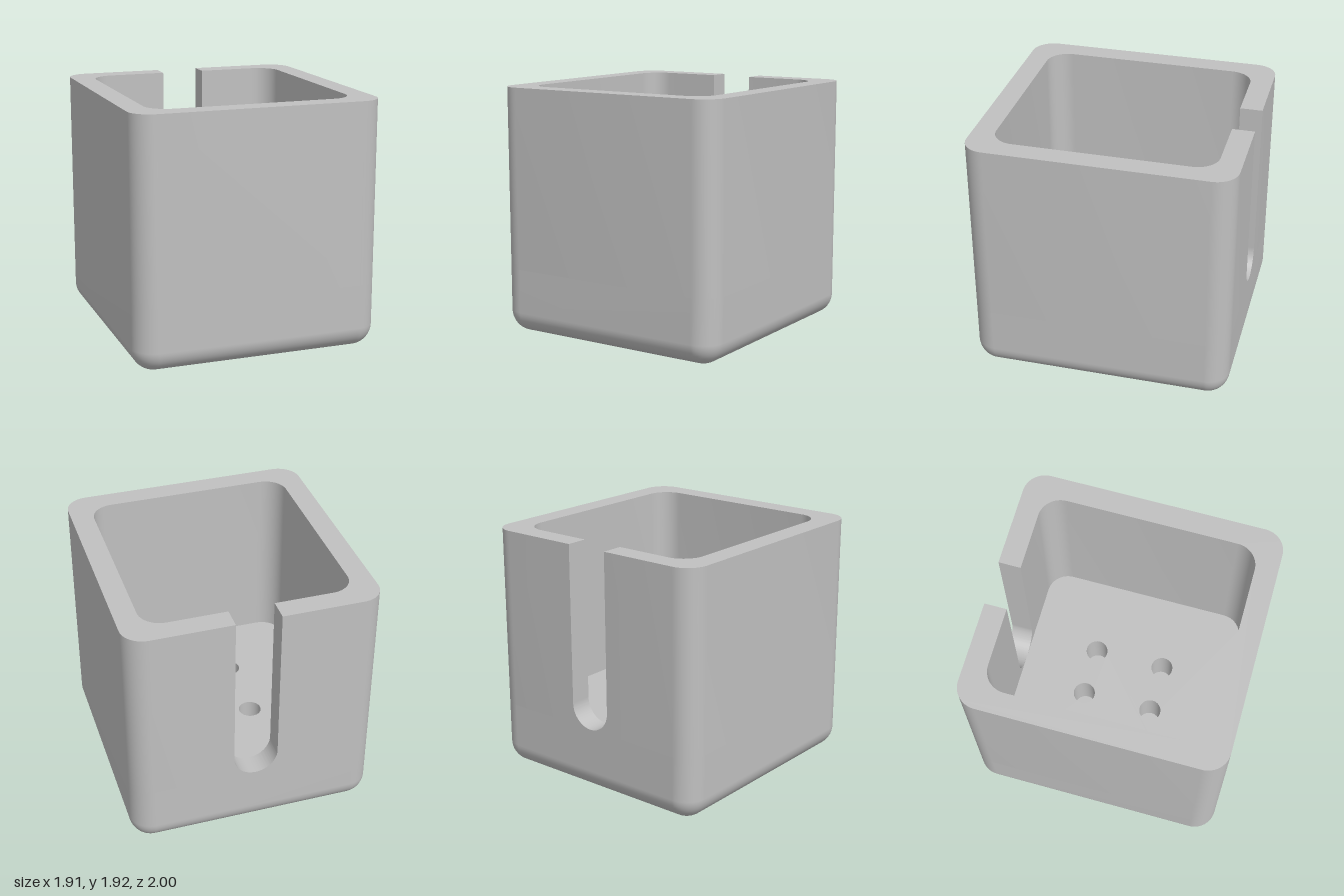
import * as THREE from 'three';
import { mergeVertices, toCreasedNormals } from 'three/addons/utils/BufferGeometryUtils.js';

const W = 0.957, D = 1, H = 1.915; // half width, half depth, height
const R = 0.17;                    // wall thickness, corner radius and slot radius
const FLOOR = 0.511;
const HOLE_R = 0.087, HOLE_DEPTH = 0.34;
const SEG = 12;

// Rounded rectangle, clockwise from the back right corner (y of the plan = -z)
function loop(w, d, r) {
  const pts = [];
  [[1, 1], [1, -1], [-1, -1], [-1, 1]].forEach(([sx, sy], c) => {
    for (let i = 0; i <= SEG; i++) {
      const a = (Math.PI / 2) * (1 - c - i / SEG);
      pts.push(new THREE.Vector2(sx * (w - r) + r * Math.cos(a), sy * (d - r) + r * Math.sin(a)));
    }
  });
  return pts;
}

// Solid lower body with a rounded bottom edge, built from stacked loops
function baseGeometry() {
  const pos = [], idx = [];
  const n = 4 * (SEG + 1);
  const addRow = (pts, y) => pts.forEach(p => pos.push(p.x, y, -p.y));
  for (let k = 0; k <= SEG; k++) {
    const t = (k / SEG) * Math.PI / 2;
    const inset = R - R * Math.sin(t);
    addRow(loop(W - inset, D - inset, R - inset), R - R * Math.cos(t));
  }
  addRow(loop(W, D, R), FLOOR);
  for (let k = 0; k <= SEG; k++) {
    for (let i = 0; i < n; i++) {
      const a = k * n + i, b = k * n + (i + 1) % n;
      idx.push(a, a + n, b, b, a + n, b + n);
    }
  }
  const centre = pos.length / 3;
  pos.push(0, 0, 0);
  for (let i = 0; i < n; i++) idx.push(centre, i, (i + 1) % n);
  const g = new THREE.BufferGeometry();
  g.setAttribute('position', new THREE.Float32BufferAttribute(pos, 3));
  g.setIndex(idx);
  const merged = mergeVertices(g, 1e-4);
  merged.computeVertexNormals();
  return merged;
}

export function createModel() {
  const group = new THREE.Group();
  const grey = new THREE.MeshStandardMaterial({ color: 0xc0c0c0 });
  grey.name = 'light grey';
  const add = (name, geometry) => {
    const mesh = new THREE.Mesh(geometry, grey);
    mesh.name = name;
    group.add(mesh);
    return mesh;
  };

  add('base', baseGeometry());

  // Walls, left open at the back for the slot
  const v = (x, y) => new THREE.Vector2(x, y);
  const inner = loop(W - R, D - R, R);
  const wallShape = new THREE.Shape([
    v(R, D), ...loop(W, D, R), v(-R, D),
    v(-R, D - R), ...[...inner].reverse(), v(R, D - R),
  ]);
  const walls = new THREE.ExtrudeGeometry(wallShape, { depth: H - FLOOR, bevelEnabled: false });
  walls.rotateX(-Math.PI / 2).translate(0, FLOOR, 0);
  add('walls', toCreasedNormals(walls, 0.6));

  // Curved fillets that round the bottom of the slot
  for (const side of [1, -1]) {
    const s = new THREE.Shape();
    s.moveTo(side * R, R);
    if (side > 0) s.absarc(0, R, R, 0, -Math.PI / 2, true);
    else s.absarc(0, R, R, Math.PI, 1.5 * Math.PI, false);
    s.lineTo(side * R, 0);
    const g = new THREE.ExtrudeGeometry(s, { depth: R, bevelEnabled: false, curveSegments: 16 });
    g.translate(0, FLOOR, -D);
    add(side > 0 ? 'slotFilletLeft' : 'slotFilletRight', toCreasedNormals(g, 0.6));
  }

  // Inner floor with four round sockets
  const floorShape = new THREE.Shape(inner);
  const socket = toCreasedNormals(new THREE.LatheGeometry(
    [v(HOLE_R, HOLE_DEPTH), v(HOLE_R, 0), v(0, 0)], 32), 0.6);
  for (const x of [-0.192, 0.192]) {
    for (const z of [-0.28, 0.28]) {
      const hole = new THREE.Path();
      hole.absarc(x, -z, HOLE_R, 0, Math.PI * 2, false);
      floorShape.holes.push(hole);
      add('socket', socket).position.set(x, FLOOR - HOLE_DEPTH, z);
    }
  }
  const floor = new THREE.ShapeGeometry(floorShape, 16);
  floor.rotateX(-Math.PI / 2).translate(0, FLOOR, 0);
  add('floor', floor);

  return group;
}
